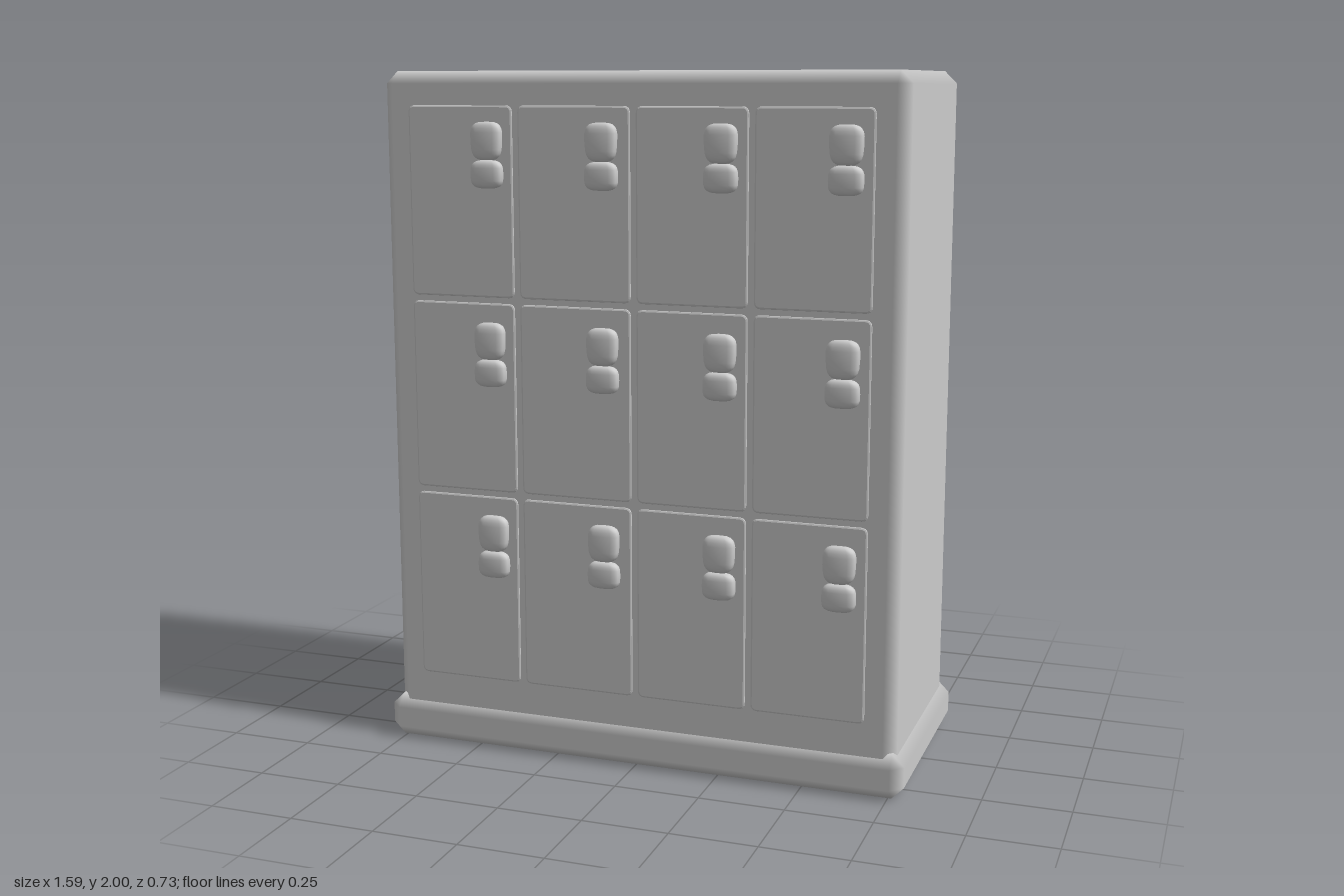
import * as THREE from 'three';
import { ConvexGeometry } from 'three/addons/geometries/ConvexGeometry.js';

const metal = new THREE.MeshStandardMaterial({ color: 0xcccccc });
metal.name = 'grey metal';

// Box with 45 degree chamfers, shaded so the chamfers look rounded
function chamferBox(w, h, d, c) {
  const half = [w / 2, h / 2, d / 2];
  const points = [];
  for (const sx of [-1, 1]) for (const sy of [-1, 1]) for (const sz of [-1, 1]) {
    for (let axis = 0; axis < 3; axis++) {
      const p = [sx, sy, sz].map((s, i) => s * (half[i] - (i === axis ? 0 : c)));
      points.push(new THREE.Vector3(...p));
    }
  }
  const geometry = new ConvexGeometry(points);
  const pos = geometry.attributes.position, normal = geometry.attributes.normal;
  for (let i = 0; i < pos.count; i++) {
    const p = [pos.getX(i), pos.getY(i), pos.getZ(i)];
    normal.setXYZ(i, ...p.map((v, k) => (Math.abs(v) > half[k] - c / 2 ? Math.sign(v) : 0)));
  }
  return geometry;
}

// Thin door panel with rounded corners and a soft front edge
function doorPanel(w, h) {
  const b = 0.006, r = 0.014, x = w / 2 - b, y = h / 2 - b;
  const shape = new THREE.Shape();
  shape.moveTo(-x + r, -y);
  shape.lineTo(x - r, -y).quadraticCurveTo(x, -y, x, -y + r);
  shape.lineTo(x, y - r).quadraticCurveTo(x, y, x - r, y);
  shape.lineTo(-x + r, y).quadraticCurveTo(-x, y, -x, y - r);
  shape.lineTo(-x, -y + r).quadraticCurveTo(-x, -y, -x + r, -y);
  return new THREE.ExtrudeGeometry(shape, {
    depth: 0.004, bevelEnabled: true, bevelThickness: b, bevelSize: b, bevelSegments: 2, curveSegments: 4,
  });
}

// Pillow-shaped knob: a sphere squared off by a power rule, narrower at one end
function pillow(w, h, d, taper) {
  const geometry = new THREE.SphereGeometry(1, 16, 12);
  const pos = geometry.attributes.position;
  const square = (v) => Math.sign(v) * Math.abs(v) ** 0.6;
  for (let i = 0; i < pos.count; i++) {
    const y = square(pos.getY(i));
    const width = 1 + taper * y;
    pos.setXYZ(i, square(pos.getX(i)) * width * w / 2, y * h / 2, square(pos.getZ(i)) * d / 2);
  }
  geometry.computeVertexNormals();
  return geometry;
}

export function createModel() {
  const model = new THREE.Group();
  model.name = 'lockerCabinet';
  const add = (parent, name, geometry, x, y, z) => {
    const mesh = new THREE.Mesh(geometry, metal);
    mesh.name = name;
    mesh.position.set(x, y, z);
    parent.add(mesh);
  };

  // Cabinet and plinth
  add(model, 'body', chamferBox(1.54, 1.93, 0.68, 0.035), 0, 1.035, -0.003);
  add(model, 'plinth', chamferBox(1.59, 0.13, 0.727, 0.035), 0, 0.065, -0.004);

  // Doors in four columns and three rows, each with a two-part handle
  const columns = [[-0.685, -0.36], [-0.345, -0.006], [0.009, 0.335], [0.35, 0.682]];
  const rows = [[0.212, 0.775], [0.79, 1.345], [1.36, 1.905]];
  const grip = pillow(0.094, 0.108, 0.05, 0.06);
  const lock = pillow(0.098, 0.08, 0.05, 0);
  rows.forEach(([y0, y1], r) => {
    columns.forEach(([x0, x1], c) => {
      const locker = new THREE.Group();
      locker.name = `locker${r + 1}_${c + 1}`;
      add(locker, 'door', doorPanel(x1 - x0, y1 - y0), (x0 + x1) / 2, (y0 + y1) / 2, 0.331);
      const hx = -0.437 + 0.347 * c, hy = 0.665 + 0.57 * r;
      add(locker, 'handleGrip', grip, hx, hy, 0.342);
      add(locker, 'handleLock', lock, hx, hy - 0.093, 0.342);
      model.add(locker);
    });
  });
  return model;
}
